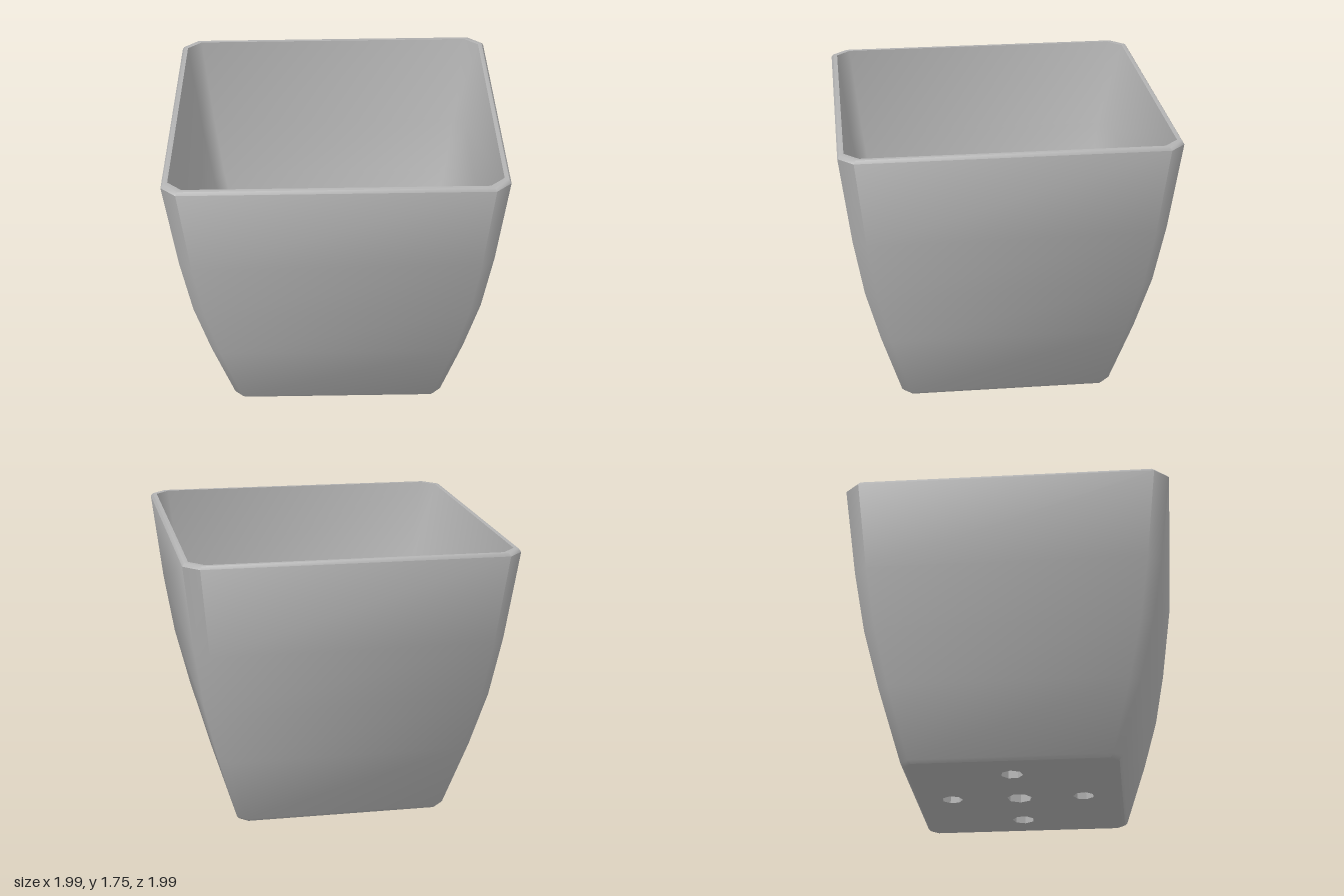
import * as THREE from 'three';
import { toCreasedNormals } from 'three/addons/utils/BufferGeometryUtils.js';

// Square section with cut corners, half width h and corner cut c
const octagon = (h, c) => [
  [h, -h + c], [h, h - c], [h - c, h], [-h + c, h],
  [-h, h - c], [-h, -h + c], [-h + c, -h], [h - c, -h],
];

// Slight hand-made lean shared by every part
function lean(geometry) {
  const p = geometry.attributes.position;
  for (let i = 0; i < p.count; i++) {
    const x = p.getX(i), y = p.getY(i);
    p.setXYZ(i, x + 0.015 * (1 - y / 1.73), y + 0.01 * (x + 0.65), p.getZ(i));
  }
  return geometry;
}

// Wall built from square rings: [half width, height, corner cut]
function loft(rings) {
  const pos = [], index = [], n = 8;
  rings.forEach(([h, y, c]) => octagon(h, c).forEach(([x, z]) => pos.push(x, y, z)));
  for (let i = 0; i < rings.length - 1; i++) {
    for (let j = 0; j < n; j++) {
      const a = i * n + j, b = i * n + (j + 1) % n;
      index.push(a, a + n, b, b, a + n, b + n);
    }
  }
  const g = new THREE.BufferGeometry();
  g.setAttribute('position', new THREE.Float32BufferAttribute(pos, 3));
  g.setIndex(index);
  return g;
}

export function createModel() {
  const pot = new THREE.Group();
  pot.name = 'plantPot';
  const clay = new THREE.MeshStandardMaterial({ color: 0xb4b4b4 });
  clay.name = 'grey';

  // Walls: up the outside, over the rim and down the inside
  const walls = new THREE.Mesh(toCreasedNormals(lean(loft([
    [0.60, 0, 0.05], [0.64, 0, 0.05], [0.655, 0.02, 0.05],
    [0.78, 0.45, 0.06], [0.868, 0.8, 0.07], [0.93, 1.17, 0.08],
    [0.997, 1.715, 0.09], [0.985, 1.733, 0.09], [0.96, 1.733, 0.085],
    [0.89, 1.17, 0.08], [0.828, 0.8, 0.07], [0.74, 0.45, 0.06],
    [0.635, 0.09, 0.05], [0.60, 0.06, 0.05],
  ])), 0.87), clay);
  walls.name = 'walls';
  pot.add(walls);

  // Base plate with five rough drain holes
  const shape = new THREE.Shape(octagon(0.6, 0.05).map(([x, y]) => new THREE.Vector2(x, y)));
  const holes = [[0.01, 0, 0.078], [-0.41, -0.01, 0.068], [0.42, -0.01, 0.07],
    [0, -0.42, 0.065], [0, 0.4, 0.065]];
  holes.forEach(([x, z, r], k) => {
    const points = [];
    for (let i = 0; i < 7; i++) {
      const a = -i / 7 * Math.PI * 2 + k * 0.4;
      points.push(new THREE.Vector2(x + r * Math.cos(a), -z + r * Math.sin(a)));
    }
    shape.holes.push(new THREE.Path(points));
  });
  const plate = new THREE.ExtrudeGeometry(shape, { depth: 0.06, bevelEnabled: false });
  plate.rotateX(-Math.PI / 2);
  lean(plate).computeVertexNormals();
  const base = new THREE.Mesh(plate, clay);
  base.name = 'base';
  pot.add(base);

  return pot;
}
